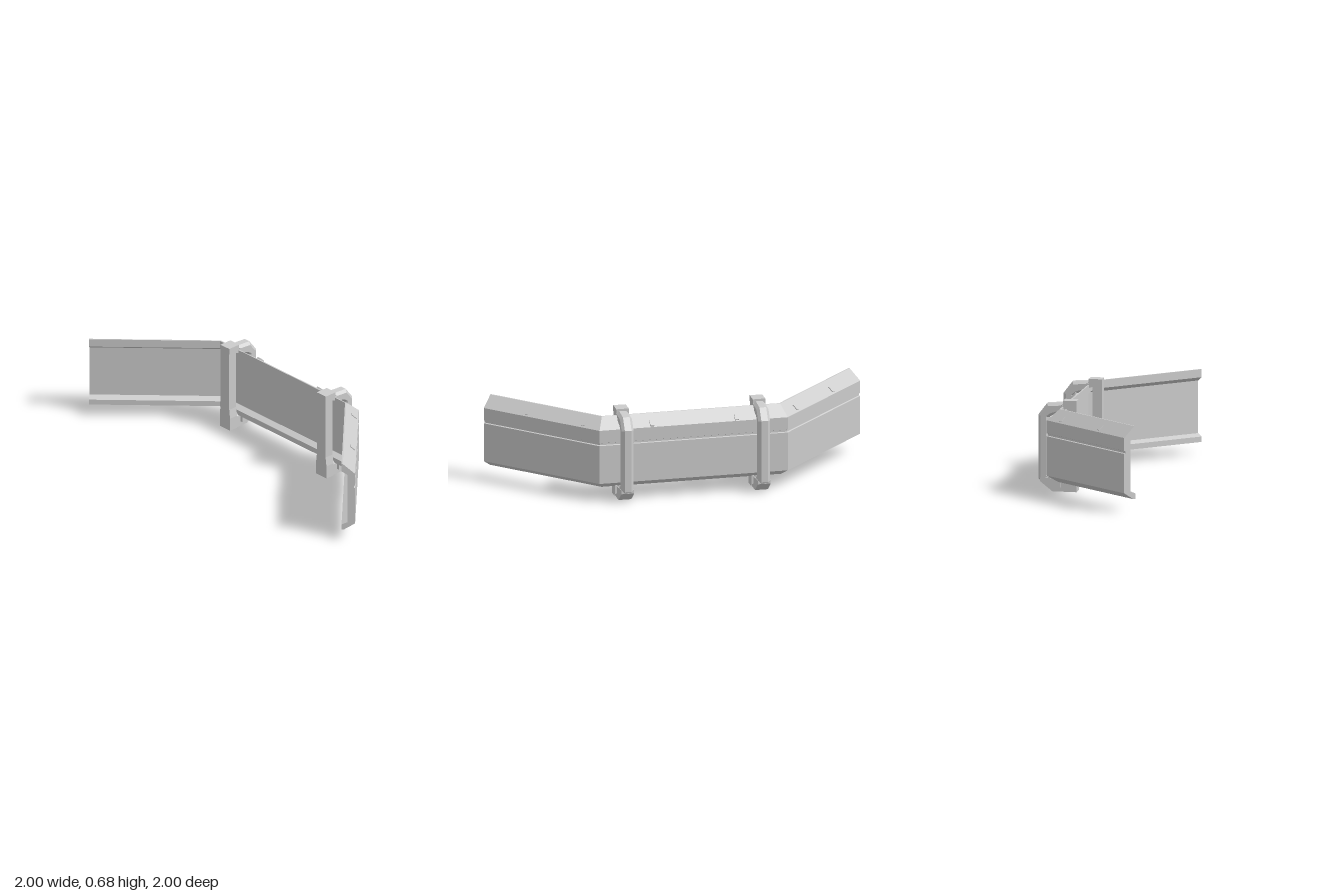
import * as THREE from 'three';

const material = new THREE.MeshStandardMaterial({ color: 0xcccccc, flatShading: true, side: THREE.DoubleSide });

function addMesh(parent, geometry, name) {
  const mesh = new THREE.Mesh(geometry, material);
  mesh.name = name;
  parent.add(mesh);
  return mesh;
}

const shapeOf = (pts) => new THREE.Shape(pts.map(([x, y]) => new THREE.Vector2(x, y)));

// Sweep a profile of [inward depth, height] along mitred stations {x, z, inX, inZ}.
function sweep(profile, stations) {
  const pos = [];
  const at = (s, [d, y]) => [s.x + s.inX * d, y, s.z + s.inZ * d];
  const n = profile.length;
  for (let i = 0; i < stations.length - 1; i++) {
    for (let j = 0; j < n; j++) {
      const a = at(stations[i], profile[j]), b = at(stations[i + 1], profile[j]);
      const c = at(stations[i + 1], profile[(j + 1) % n]), d = at(stations[i], profile[(j + 1) % n]);
      pos.push(...a, ...d, ...c, ...a, ...c, ...b);
    }
  }
  // End caps
  const tris = THREE.ShapeUtils.triangulateShape(profile.map(([d, y]) => new THREE.Vector2(d, y)), []);
  const first = stations[0], last = stations[stations.length - 1];
  for (const [a, b, c] of tris) {
    pos.push(...at(first, profile[a]), ...at(first, profile[b]), ...at(first, profile[c]));
    pos.push(...at(last, profile[a]), ...at(last, profile[c]), ...at(last, profile[b]));
  }
  const g = new THREE.BufferGeometry();
  g.setAttribute('position', new THREE.Float32BufferAttribute(pos, 3));
  // Make the winding face outward whichever way the profile runs
  let volume = 0;
  const A = new THREE.Vector3(), B = new THREE.Vector3(), C = new THREE.Vector3();
  for (let i = 0; i < pos.length; i += 9) {
    volume += A.fromArray(pos, i).dot(B.fromArray(pos, i + 3).cross(C.fromArray(pos, i + 6)));
  }
  if (volume < 0) {
    for (let i = 0; i < pos.length; i += 9) {
      for (let k = 0; k < 3; k++) {
        const t = pos[i + 3 + k];
        pos[i + 3 + k] = pos[i + 6 + k];
        pos[i + 6 + k] = t;
      }
    }
    g.setAttribute('position', new THREE.Float32BufferAttribute(pos, 3));
  }
  g.computeVertexNormals();
  return g;
}

// Clamp post in its own frame: x outward across the rail, z along the rail
function makePost() {
  const post = new THREE.Group();
  post.name = 'post';

  // Closed frame wrapping the rail
  const frame = shapeOf([[0.515, 0.03], [0.71, 0.03], [0.80, 0.09], [0.80, 0.565], [0.735, 0.65], [0.515, 0.665]]);
  frame.holes.push(shapeOf([[0.58, 0.11], [0.58, 0.61], [0.61, 0.625], [0.72, 0.545], [0.72, 0.13], [0.66, 0.10]]));
  const frameGeo = new THREE.ExtrudeGeometry(frame, {
    depth: 0.05, bevelEnabled: true, bevelSegments: 1, bevelSize: 0.02, bevelThickness: 0.02, bevelOffset: -0.02,
  });
  frameGeo.translate(0, 0, -0.025);
  addMesh(post, frameGeo, 'clampFrame');

  // Inner column with a flared base
  const side = [[0.055, 0], [0.055, 0.1], [0.046, 0.17], [0.046, 0.675]];
  const outline = [...side, ...side.map(([x, y]) => [-x, y]).reverse()];
  const column = new THREE.ExtrudeGeometry(shapeOf(outline), { depth: 0.07, bevelEnabled: false });
  column.rotateY(Math.PI / 2);
  column.translate(0.512, 0, 0);
  addMesh(post, column, 'column');

  // Cap on the column
  const cap = new THREE.BoxGeometry(0.10, 0.045, 0.094);
  cap.translate(0.562, 0.6525, 0);
  addMesh(post, cap, 'columnCap');

  // Foot sloping out under the rail
  const foot = new THREE.ExtrudeGeometry(
    shapeOf([[0.512, 0], [0.69, 0], [0.785, 0.075], [0.785, 0.10], [0.72, 0.10], [0.63, 0.085], [0.512, 0.085]]),
    { depth: 0.096, bevelEnabled: false });
  foot.translate(0, 0, -0.048);
  addMesh(post, foot, 'foot');

  // Pins beside the foot
  for (const s of [-1, 1]) {
    const pin = new THREE.BoxGeometry(0.02, 0.065, 0.02);
    pin.translate(0.636, 0.0675, s * 0.056);
    addMesh(post, pin, 'pin');
  }
  return post;
}

export function createModel() {
  const model = new THREE.Group();
  model.name = 'cornerGuardRail';

  // Channel rail: plate with a shallow groove and lips folded inward
  const profile = [
    [0, 0.14], [0, 0.432], [0.01, 0.436], [0.01, 0.45], [0, 0.454], [0, 0.55],
    [0.09, 0.63], [0.1, 0.63], [0.1, 0.57], [0.055, 0.54],
    [0.055, 0.15], [0.1, 0.13], [0.1, 0.09], [0.08, 0.09],
  ];
  const m = Math.tan(Math.PI / 8), h = Math.SQRT1_2;
  const stations = [
    { x: -1, z: -1, inX: 0, inZ: 1 },
    { x: 0, z: -1, inX: -m, inZ: 1 },
    { x: 0.5, z: -0.5, inX: -h, inZ: h },
    { x: 1, z: 0, inX: -1, inZ: m },
    { x: 1, z: 1, inX: -1, inZ: 0 },
  ];
  const names = ['backRail', 'diagonalRailBack', 'diagonalRailFront', 'sideRail'];
  names.forEach((name, i) => addMesh(model, sweep(profile, [stations[i], stations[i + 1]]), name));

  // Small tabs on the sloping top: position and turn about y
  const slope = Math.atan2(0.08, 0.09);
  const tabs = [
    [-0.65, -0.97, Math.PI / 2], [-0.16, -0.97, Math.PI / 2],
    [0.26, -0.72, Math.PI / 4], [0.71, -0.27, Math.PI / 4],
    [0.97, 0.15, 0], [0.97, 0.64, 0],
  ];
  for (const [x, z, turn] of tabs) {
    const geo = new THREE.BoxGeometry(0.05, 0.012, 0.03);
    geo.rotateZ(-slope);
    geo.rotateY(turn);
    addMesh(model, geo, 'railTab').position.set(x, 0.577, z);
  }

  // Two clamp posts on the diagonal
  for (const along of [-0.513, 0.513]) {
    const post = makePost();
    post.rotation.y = Math.PI / 4;
    post.position.set(along * h, 0, along * h);
    model.add(post);
  }
  return model;
}
